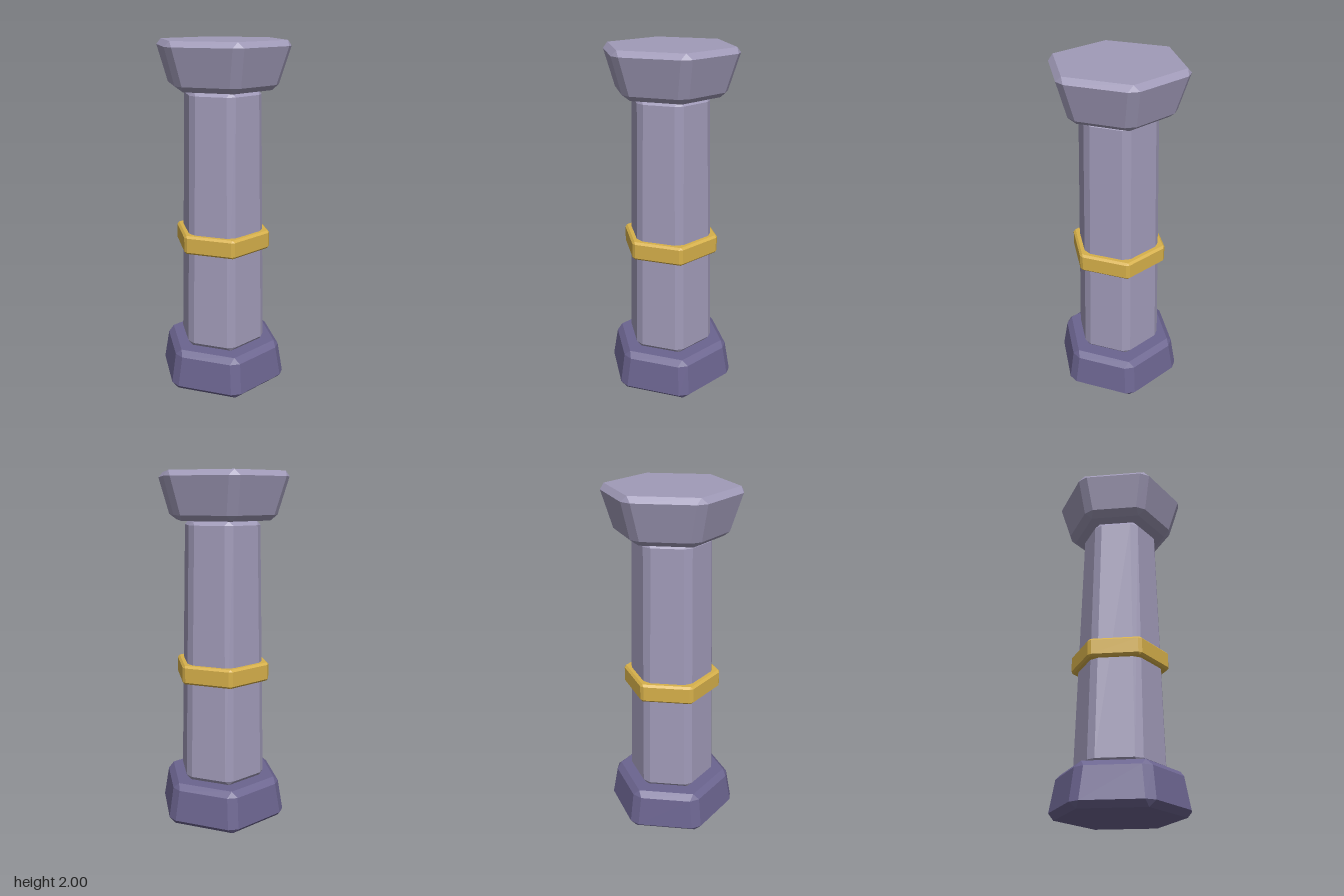
import * as THREE from 'three';

// Hexagon ring with corners on the z axis; chamfer is half the width of each cut corner
function hexRing(apothem, chamfer, y) {
  const points = [];
  const radius = apothem / Math.cos(Math.PI / 6) - chamfer / Math.sqrt(3);
  for (let k = 0; k < 6; k++) {
    const a = (k * Math.PI) / 3;
    for (const side of [-chamfer, chamfer]) {
      points.push(new THREE.Vector3(
        radius * Math.sin(a) + side * Math.cos(a),
        y,
        radius * Math.cos(a) - side * Math.sin(a)));
    }
  }
  return points;
}

// Tapered hexagonal block with every edge bevelled.
// Profile runs upward as four [apothem, y] pairs; the end faces keep sharp corners.
function bevelledHex(name, material, chamfer, profile) {
  const rings = profile.map(([apothem, y], i) =>
    hexRing(apothem, i === 0 || i === profile.length - 1 ? 0 : chamfer, y));
  const positions = [];
  const triangle = (a, b, c) => {
    if (new THREE.Triangle(a, b, c).getArea() < 1e-9) return;
    for (const p of [a, b, c]) positions.push(p.x, p.y, p.z);
  };
  const bottom = rings[0], top = rings[rings.length - 1];
  const bottomCentre = new THREE.Vector3(0, bottom[0].y, 0);
  const topCentre = new THREE.Vector3(0, top[0].y, 0);
  for (let i = 0; i < 12; i++) {
    const j = (i + 1) % 12;
    for (let r = 0; r < rings.length - 1; r++) {
      const lo = rings[r], hi = rings[r + 1];
      triangle(lo[i], lo[j], hi[j]);
      triangle(lo[i], hi[j], hi[i]);
    }
    triangle(bottomCentre, bottom[j], bottom[i]);
    triangle(topCentre, top[i], top[j]);
  }
  const geometry = new THREE.BufferGeometry();
  geometry.setAttribute('position', new THREE.Float32BufferAttribute(positions, 3));
  geometry.computeVertexNormals();
  const mesh = new THREE.Mesh(geometry, material);
  mesh.name = name;
  return mesh;
}

function flatMaterial(name, color) {
  const material = new THREE.MeshStandardMaterial({ color, flatShading: true });
  material.name = name;
  return material;
}

export function createModel() {
  const stone = flatMaterial('lilacStone', 0xa09ab8);
  const darkStone = flatMaterial('darkStone', 0x6b648f);
  const gold = flatMaterial('gold', 0xd6b04a);

  const column = new THREE.Group();
  column.name = 'column';
  column.add(
    bevelledHex('base', darkStone, 0.03,
      [[0.306, 0], [0.34, 0.033], [0.313, 0.21], [0.281, 0.242]]),
    bevelledHex('shaft', stone, 0.025,
      [[0.205, 0.242], [0.229, 0.268], [0.2, 1.712], [0.177, 1.737]]),
    bevelledHex('goldBand', gold, 0.012,
      [[0.236, 0.83], [0.248, 0.842], [0.248, 0.926], [0.236, 0.938]]),
    bevelledHex('capital', stone, 0.03,
      [[0.243, 1.737], [0.285, 1.768], [0.34, 1.97], [0.313, 2]]));
  return column;
}
